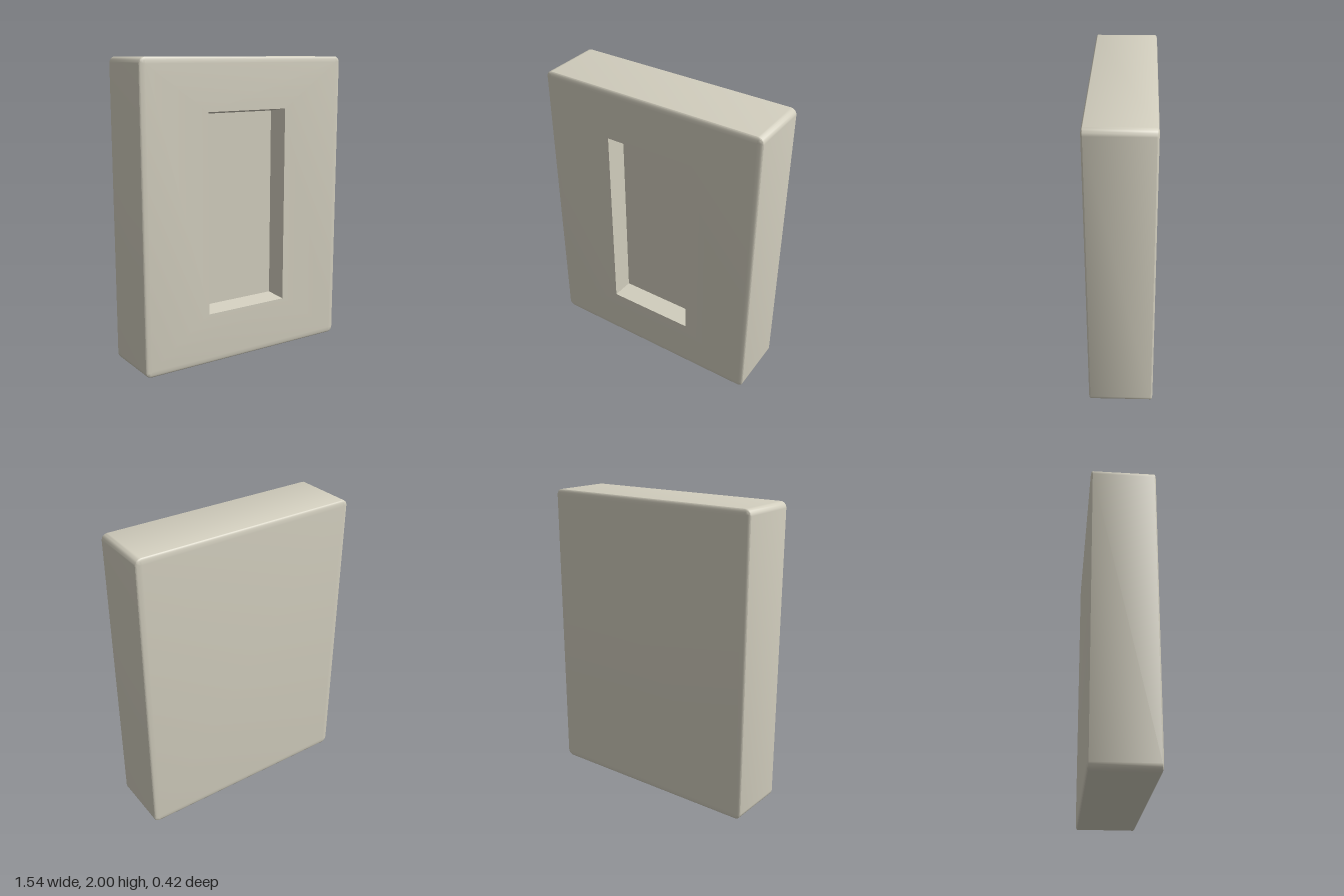
import * as THREE from 'three';
import { toCreasedNormals } from 'three/addons/utils/BufferGeometryUtils.js';

const HALF_W = 0.77, HALF_H = 1, HALF_D = 0.212;
const BEVEL = 0.04, BEVEL_Z = 0.012, STEPS = 6;

// Rounded rectangle ring, counter-clockwise seen from +z; always the same point count
function ring(halfW, halfH, radius, z) {
  const points = [];
  for (let corner = 0; corner < 4; corner++) {
    const sx = corner === 0 || corner === 3 ? 1 : -1;
    const sy = corner < 2 ? 1 : -1;
    for (let i = 0; i <= STEPS; i++) {
      const a = (corner + i / STEPS) * Math.PI / 2;
      points.push([
        sx * (halfW - radius) + radius * Math.cos(a),
        HALF_H + sy * (halfH - radius) + radius * Math.sin(a),
        z,
      ]);
    }
  }
  return points;
}

// Skin between consecutive rings; a ring of zero size closes an end
function loft(rings) {
  const n = rings[0].length, index = [];
  for (let r = 0; r < rings.length - 1; r++) {
    for (let i = 0; i < n; i++) {
      const j = (i + 1) % n;
      const a = r * n + i, b = r * n + j, c = a + n, d = b + n;
      index.push(a, b, d, a, d, c);
    }
  }
  const geometry = new THREE.BufferGeometry();
  geometry.setAttribute('position', new THREE.Float32BufferAttribute(rings.flat(2), 3));
  geometry.setIndex(index);
  return toCreasedNormals(geometry, 0.7);
}

// Ring on the rounded edge: t = 0 on the side wall, PI / 2 on the front or back face
function edgeRing(t, side) {
  const inset = BEVEL * (1 - Math.cos(t));
  const z = side * (HALF_D - BEVEL_Z * (1 - Math.sin(t)));
  return ring(HALF_W - inset, HALF_H - inset, BEVEL * Math.cos(t), z);
}

export function createModel() {
  const group = new THREE.Group();
  group.name = 'recessedPanel';

  // Back face, rounded back edge, side walls and rounded front edge
  const rings = [ring(0, 0, 0, -HALF_D)];
  for (let i = STEPS; i >= 0; i--) rings.push(edgeRing(i / STEPS * Math.PI / 2, -1));
  for (let i = 0; i <= STEPS; i++) rings.push(edgeRing(i / STEPS * Math.PI / 2, 1));

  // Recess with slightly tapered walls and a flat floor
  const floorZ = HALF_D - 0.13;
  rings.push(ring(0.3, 0.66, 0, HALF_D));
  rings.push(ring(0.28, 0.64, 0, floorZ));
  rings.push(ring(0, 0, 0, floorZ));

  const body = new THREE.Mesh(loft(rings), new THREE.MeshStandardMaterial({ color: 0xd2cebe }));
  body.name = 'frameBody';
  group.add(body);
  return group;
}
